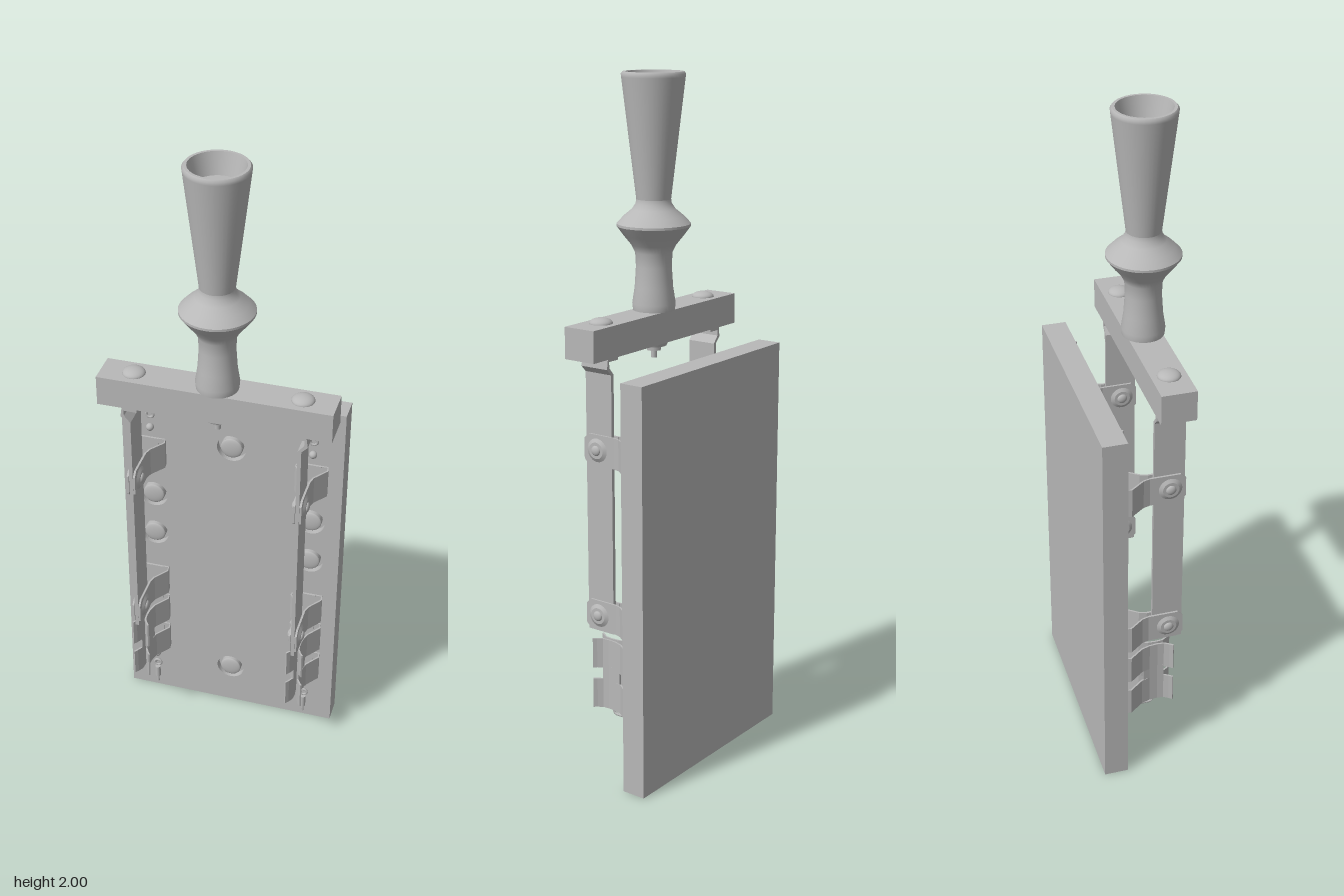
import * as THREE from 'three';

const metal = new THREE.MeshStandardMaterial({ color: 0xb8b8b8 });
metal.name = 'plain grey';

function add(parent, name, geometry, x = 0, y = 0, z = 0) {
  const mesh = new THREE.Mesh(geometry, metal);
  mesh.name = name;
  mesh.position.set(x, y, z);
  parent.add(mesh);
  return mesh;
}

const toShape = (pts) => new THREE.Shape(pts.map(([x, y]) => new THREE.Vector2(x, y)));
const extrude = (shape, depth) =>
  new THREE.ExtrudeGeometry(shape, { depth, bevelEnabled: false, curveSegments: 24 });

// Bent sheet: thickens a polyline into a closed outline
function ribbon(pts, t) {
  const side = (sign) => pts.map((p, i) => {
    const a = pts[Math.max(i - 1, 0)], b = pts[Math.min(i + 1, pts.length - 1)];
    const dx = b[0] - a[0], dy = b[1] - a[1], l = Math.hypot(dx, dy);
    return [p[0] - sign * dy / l * t / 2, p[1] + sign * dx / l * t / 2];
  });
  return toShape([...side(1), ...side(-1).reverse()]);
}

// Sheet bent in plan (x, z) and raised along y
const planSheet = (pts, t, height) => extrude(ribbon(pts, t), height).rotateX(Math.PI / 2).translate(0, height, 0);

// Plate outlined in (z, y) with its thickness centred on x
const sidePlate = (pts, t) => extrude(toShape(pts), t).rotateY(-Math.PI / 2).translate(t / 2, 0, 0);

// Turned profile, each list being one smooth run
function lathe(parent, name, runs, x, z) {
  for (const run of runs)
    add(parent, name, new THREE.LatheGeometry(run.map(([r, y]) => new THREE.Vector2(r, y)), 40), x, 0, z);
}

const dome = (r, h) => new THREE.SphereGeometry(r, 24, 8, 0, Math.PI * 2, 0, Math.PI / 2).scale(1, h / r, 1);

// Board with round recesses holding screw heads
function makeBoard() {
  const g = new THREE.Group();
  g.name = 'board';
  const spots = [[0, 1.025], [0, 0.145]];
  for (const s of [-1, 1]) spots.push([s * 0.245, 0.805], [s * 0.245, 0.655]);
  add(g, 'boardBack', new THREE.BoxGeometry(0.674, 1.205, 0.05), 0, 0.6025, -0.137);
  const face = toShape([[-0.337, 0], [0.337, 0], [0.337, 1.205], [-0.337, 1.205]]);
  for (const [x, y] of spots) face.holes.push(new THREE.Path().absarc(x, y, 0.044, 0, Math.PI * 2, true));
  add(g, 'boardFace', extrude(face, 0.022), 0, 0, -0.112);
  for (const [x, y] of spots) {
    add(g, 'boardScrew', new THREE.CylinderGeometry(0.033, 0.033, 0.02, 28).rotateX(Math.PI / 2), x, y, -0.102);
    add(g, 'boardScrewDome', dome(0.033, 0.007).rotateX(Math.PI / 2), x, y, -0.092);
  }
  return g;
}

// Hollow-topped turned grip
function makeHandle() {
  const g = new THREE.Group();
  g.name = 'handle';
  lathe(g, 'handleNeck', [
    [[0, 1.335], [0.06, 1.335]],
    [[0.06, 1.335], [0.062, 1.355], [0.055, 1.4], [0.051, 1.46], [0.053, 1.5], [0.064, 1.522], [0.085, 1.548], [0.105, 1.575]],
    [[0.105, 1.575], [0.105, 1.582]],
    [[0.105, 1.582], [0.085, 1.603], [0.062, 1.622], [0.051, 1.638], [0.049, 1.65]],
  ], 0, 0.05);
  lathe(g, 'handleGrip', [
    [[0.049, 1.65], [0.089, 1.985], [0.09, 1.994], [0.085, 2]],
    [[0.085, 2], [0.077, 2]],
    [[0.077, 2], [0.062, 1.94]],
    [[0.062, 1.94], [0, 1.94]],
  ], 0, 0.05);
  return g;
}

// Crossbar with blade screws and the handle bolt underneath
function makeCrossbar() {
  const g = new THREE.Group();
  g.name = 'crossbar';
  add(g, 'bar', new THREE.BoxGeometry(0.674, 0.09, 0.1), 0, 1.29, 0.05);
  for (const s of [-1, 1]) {
    add(g, 'barScrew', dome(0.033, 0.016), s * 0.242, 1.335, 0.05);
  }
  add(g, 'boltWasher', new THREE.CylinderGeometry(0.04, 0.036, 0.01, 24), 0, 1.236, 0.05);
  add(g, 'boltNut', new THREE.CylinderGeometry(0.022, 0.022, 0.014, 6), 0, 1.224, 0.05);
  add(g, 'boltEnd', new THREE.CylinderGeometry(0.009, 0.009, 0.03, 12), 0, 1.21, 0.05);
  return g;
}

// Half of a spring clip in plan: foot, wall, slanted leg, then jaw
const clipLeg = (s, jaw) => [[s * 0.003, -0.086], [s * 0.045, -0.086], [s * 0.047, -0.068],
  [s * 0.016, -0.026], ...jaw.map(([x, z]) => [s * x, z])];

// Ear clip pinned around the blade
function makeEarClip(y) {
  const g = new THREE.Group();
  g.name = 'earClip';
  const ear = [[-0.005, 0], [0.085, 0], [0.1, 0.015], [0.1, 0.075], [0.085, 0.09], [-0.005, 0.09]];
  for (const s of [-1, 1]) {
    add(g, 'clipLeg', planSheet(clipLeg(s, [[0.01, -0.005]]), 0.005, 0.09));
    add(g, 'clipEar', sidePlate(ear, 0.006), s * 0.0095);
    add(g, 'cupWasher', new THREE.CylinderGeometry(0.024, 0.036, 0.007, 24).rotateZ(-s * Math.PI / 2), s * 0.015, 0.045, 0.055);
    add(g, 'pinHead', dome(0.015, 0.008).rotateZ(-s * Math.PI / 2), s * 0.018, 0.045, 0.055);
  }
  add(g, 'clipBase', new THREE.BoxGeometry(0.05, 0.09, 0.006), 0, 0.045, -0.085);
  g.position.y = y;
  return g;
}

// Open receiving jaw made of two fingers per side, joined in the middle
function makeJaw() {
  const g = new THREE.Group();
  g.name = 'receivingJaw';
  const tip = [[0.008, 0], [0.006, 0.025], [0.008, 0.045], [0.017, 0.06], [0.025, 0.07]];
  for (const s of [-1, 1]) {
    for (const y of [0.195, 0.32])
      add(g, 'jawFinger', planSheet(clipLeg(s, tip), 0.005, 0.09), 0, y);
    add(g, 'jawBridge', planSheet([[s * 0.012, -0.02], [s * 0.008, 0], [s * 0.006, 0.025], [s * 0.008, 0.045]], 0.005, 0.05), 0, 0.278);
  }
  add(g, 'jawBase', new THREE.BoxGeometry(0.05, 0.215, 0.006), 0, 0.3025, -0.085);
  const wire = new THREE.CatmullRomCurve3([[0.2, 0.015], [0.183, 0.01], [0.18, -0.02], [0.178, -0.055], [0.165, -0.075]]
    .map(([y, z]) => new THREE.Vector3(0, y, z)));
  add(g, 'jawTail', new THREE.TubeGeometry(wire, 16, 0.004, 8));
  return g;
}

// Small wire terminal lying on the board; dir points away from the clip
function makeTerminal(y, dir) {
  const g = new THREE.Group();
  g.name = 'terminal';
  add(g, 'terminalStud', new THREE.SphereGeometry(0.012, 14, 10), 0, y, -0.081);
  add(g, 'terminalRing', new THREE.TorusGeometry(0.011, 0.004, 8, 20), 0, y + dir * 0.045, -0.084);
  add(g, 'terminalBarrel', new THREE.CylinderGeometry(0.009, 0.009, 0.04, 12), 0, y + dir * 0.08, -0.08);
  add(g, 'terminalPin', new THREE.CylinderGeometry(0.004, 0.004, 0.03, 8), 0, y + dir * 0.112, -0.082);
  return g;
}

// One pole: blade, two ear clips, jaw and terminals
function makePole(s) {
  const g = new THREE.Group();
  g.name = s > 0 ? 'leftPole' : 'rightPole';
  const bend = [[-0.025, 1.24], [0.016, 1.24], [0.018, 1.216], [0, 1.196], [0, 0.43]].map(([x, y]) => [s * x, y]);
  add(g, 'blade', extrude(ribbon(bend, 0.011), 0.09), 0, 0, 0.008);
  g.add(makeEarClip(0.93), makeEarClip(0.435), makeJaw(), makeTerminal(0.15, -1), makeTerminal(1.06, 1));
  g.position.x = s * 0.247;
  return g;
}

export function createModel() {
  const model = new THREE.Group();
  model.name = 'knifeSwitch';
  model.add(makeBoard(), makeCrossbar(), makeHandle(), makePole(-1), makePole(1));
  return model;
}
